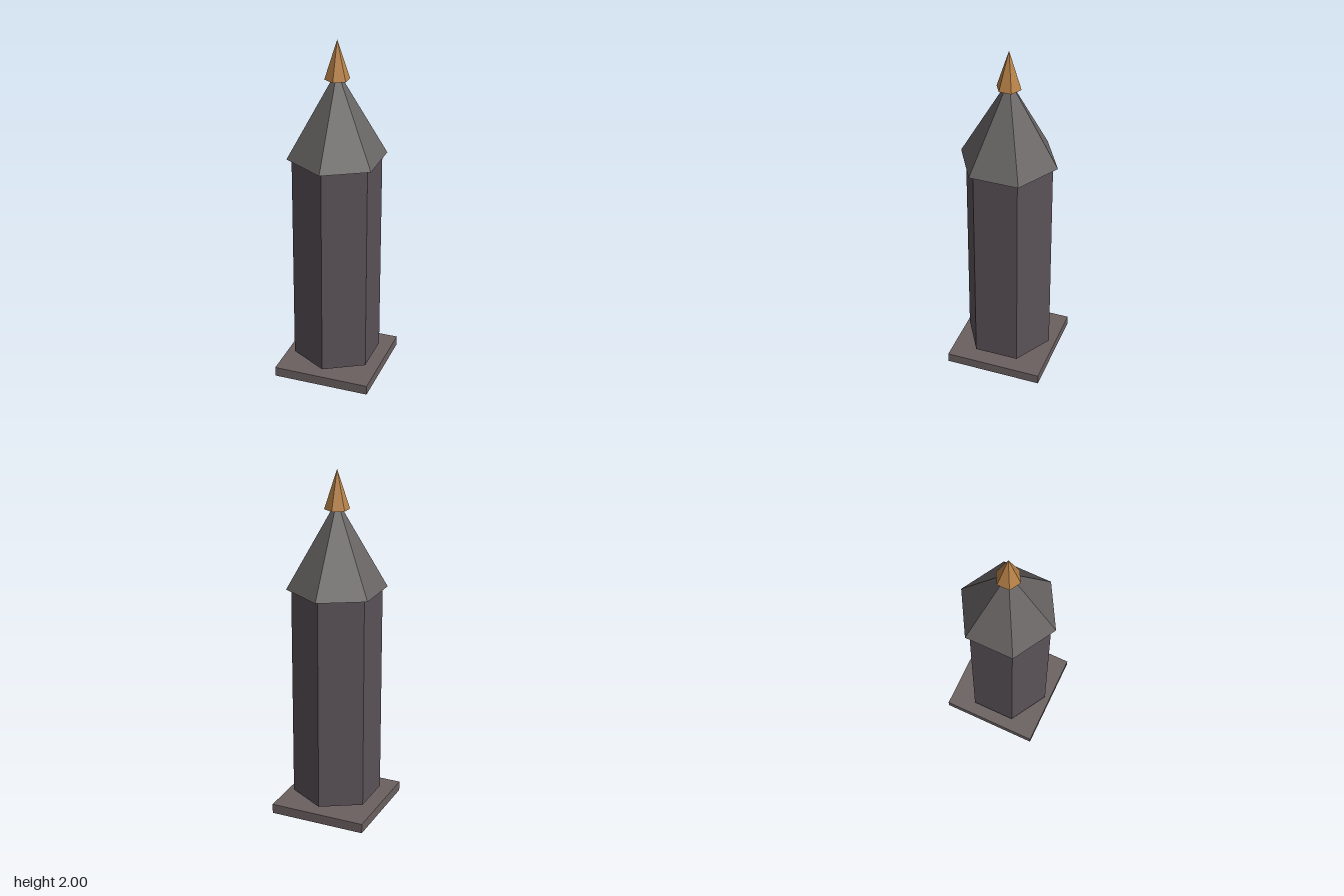
import * as THREE from 'three';

const SIDES = 6;

function addPart(group, name, geometry, color, bottom, height) {
  const material = new THREE.MeshStandardMaterial({ color, flatShading: true });
  const mesh = new THREE.Mesh(geometry, material);
  mesh.name = name;
  mesh.position.y = bottom + height / 2;
  group.add(mesh);
}

export function createModel() {
  const tower = new THREE.Group();
  tower.name = 'tower';

  // Square plinth, with a small gap below the shaft
  addPart(tower, 'base', new THREE.BoxGeometry(0.562, 0.056, 0.562), 0x6b6060, 0, 0.056);

  // Hexagonal shaft, corners facing front and back
  addPart(tower, 'shaft', new THREE.CylinderGeometry(0.253, 0.253, 1.24, SIDES), 0x5a5258, 0.09, 1.24);

  // Overhanging pointed roof
  addPart(tower, 'roof', new THREE.ConeGeometry(0.281, 0.5, SIDES), 0x6a6666, 1.33, 0.5);

  // Finial cone capping the roof
  addPart(tower, 'finial', new THREE.ConeGeometry(0.07, 0.22, SIDES), 0xb88248, 1.78, 0.22);

  return tower;
}
